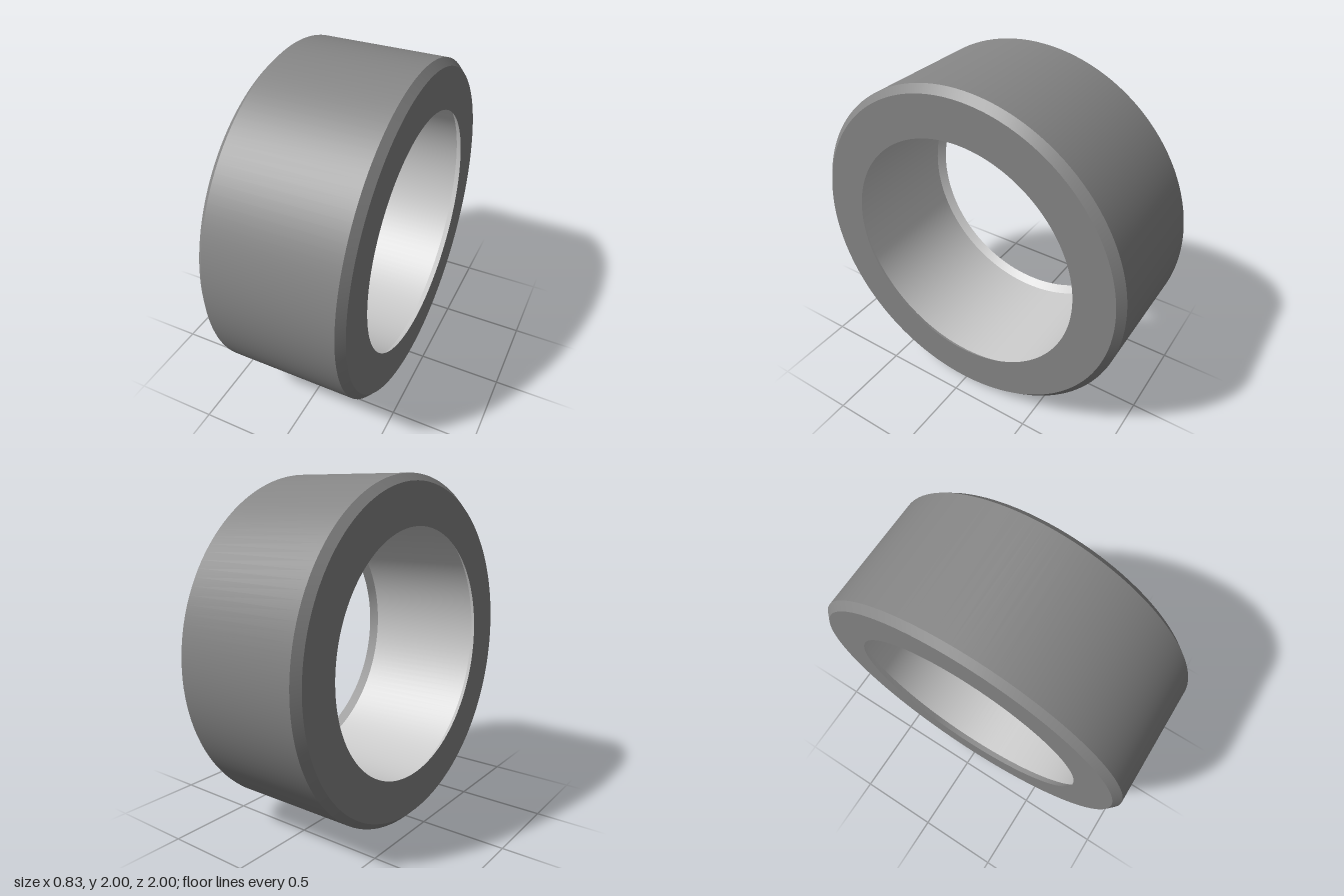
import * as THREE from 'three';
import { toCreasedNormals } from 'three/addons/utils/BufferGeometryUtils.js';

const HALF_WIDTH = 0.415;
const BEVEL = 0.04;
const OUTER = 1;
const INNER = 0.76;

// Revolves a [radius, offset] profile around the x axis, keeping bevel edges crisp
function ring(name, profile, color) {
  const points = profile.map(([r, x]) => new THREE.Vector2(r, x));
  const lathe = new THREE.LatheGeometry(points, 128);
  lathe.rotateZ(-Math.PI / 2);
  const material = new THREE.MeshStandardMaterial({ color });
  const mesh = new THREE.Mesh(toCreasedNormals(lathe, 0.5), material);
  mesh.name = name;
  mesh.position.y = OUTER;
  return mesh;
}

export function createModel() {
  const group = new THREE.Group();
  group.name = 'wideRing';
  const shoulder = HALF_WIDTH - BEVEL;
  const lip = INNER - BEVEL;

  // Outer shell: flat side faces, bevelled shoulders and straight tread
  group.add(ring('outerShell', [
    [lip, -HALF_WIDTH],
    [OUTER - BEVEL, -HALF_WIDTH],
    [OUTER, -shoulder],
    [OUTER, shoulder],
    [OUTER - BEVEL, HALF_WIDTH],
    [lip, HALF_WIDTH],
  ], 0x868686));

  // Inner lining: straight bore that narrows to a lip at both ends
  group.add(ring('innerLining', [
    [lip, HALF_WIDTH],
    [INNER, shoulder],
    [INNER, -shoulder],
    [lip, -HALF_WIDTH],
  ], 0xcccccc));

  return group;
}
